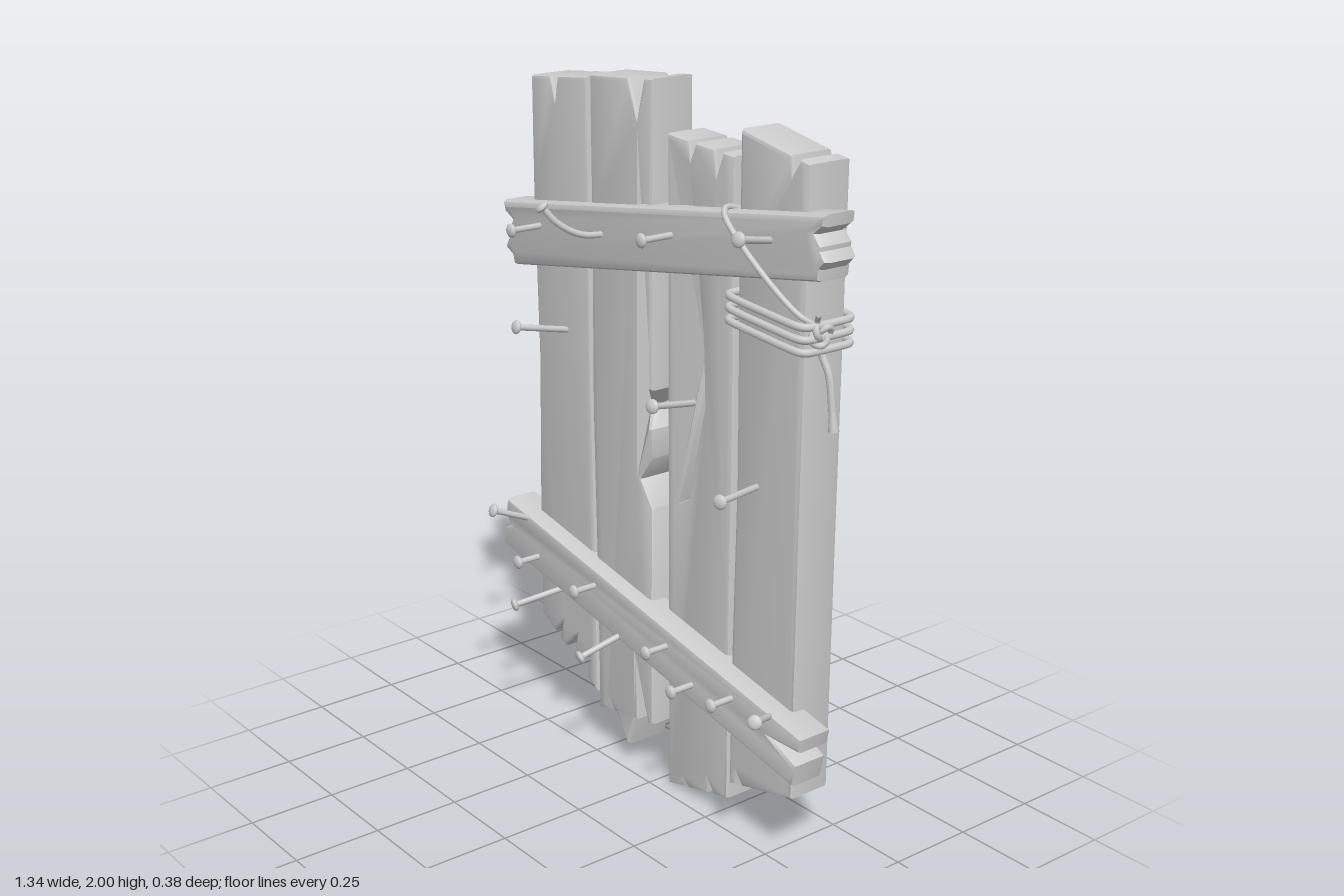
import * as THREE from 'three';
import { toCreasedNormals } from 'three/addons/utils/BufferGeometryUtils.js';

const material = new THREE.MeshStandardMaterial({ color: 0xcccccc });
const V = (p) => new THREE.Vector3(...p);

function addMesh(parent, geometry, name) {
  const mesh = new THREE.Mesh(geometry, material);
  mesh.name = name;
  parent.add(mesh);
  return mesh;
}

// One side of a board: from a toward b, cut by V notches [place along side, half width, depth].
function notchedSide(a, b, notches = []) {
  const from = new THREE.Vector2(...a), to = new THREE.Vector2(...b);
  const step = to.clone().sub(from);
  const inward = new THREE.Vector2(step.y, -step.x).normalize();
  const at = (t, depth) => from.clone().addScaledVector(step, t).addScaledVector(inward, depth);
  return [from, ...notches.flatMap(([t, w, d]) => [at(t - w, 0), at(t, d), at(t + w, 0)])];
}

// Board from its four corners (clockwise from top left) and the notches of each side.
// Dents [x, y, radius, depth] pinch both faces toward the middle.
function addBoard(parent, name, corners, { back, front, top, right, bottom, left, hole, dents = [], bevel = 0.012 }) {
  const [tl, tr, br, bl] = corners;
  const shape = new THREE.Shape([
    ...notchedSide(tl, tr, top), ...notchedSide(tr, br, right),
    ...notchedSide(br, bl, bottom), ...notchedSide(bl, tl, left),
  ]);
  if (hole) shape.holes.push(new THREE.Path(hole.map(([x, y]) => new THREE.Vector2(x, y))));
  const geometry = new THREE.ExtrudeGeometry(shape, {
    depth: front - back - 2 * bevel, bevelThickness: bevel, bevelSize: bevel,
    bevelOffset: -bevel, bevelSegments: 2, steps: 1,
  });
  geometry.translate(0, 0, back + bevel);
  const middle = (front + back) / 2;
  const pos = geometry.attributes.position;
  for (let i = 0; i < pos.count; i++) {
    for (const [x, y, radius, depth] of dents) {
      if (Math.hypot(pos.getX(i) - x, pos.getY(i) - y) < radius) {
        pos.setZ(i, pos.getZ(i) - Math.sign(pos.getZ(i) - middle) * depth);
      }
    }
  }
  addMesh(parent, toCreasedNormals(geometry, 0.6), name);
}

function cord(points, radius, closed = false) {
  const curve = new THREE.CatmullRomCurve3(points, closed, 'centripetal');
  return new THREE.TubeGeometry(curve, points.length * 5, radius, 8, closed);
}

// Nail following its points from the wood to a flat round head.
function addNail(parent, ...points) {
  const group = new THREE.Group();
  group.name = 'nail';
  parent.add(group);
  const path = points.map(V);
  addMesh(group, cord(path, 0.009), 'nailShaft');
  const head = addMesh(group, new THREE.SphereGeometry(0.02, 14, 8), 'nailHead');
  const tip = path.at(-1);
  head.scale.y = 0.5;
  head.position.copy(tip);
  head.quaternion.setFromUnitVectors(new THREE.Vector3(0, 1, 0), tip.clone().sub(path.at(-2)).normalize());
}

// Four upright planks with splintered ends
function addPlanks(parent) {
  addBoard(parent, 'plank', [[-.56, 1.945], [-.305, 1.97], [-.28, .17], [-.555, .33]], {
    back: -.165, front: -.025,
    top: [[.42, .06, .06]],
    right: [[.45, .3, .006]],
    bottom: [[.28, .1, .09], [.5, .07, .08], [.72, .04, .06]],
    left: [[.5, .3, .012]],
  });
  addBoard(parent, 'plank', [[-.285, 1.98], [-.015, 2], [-.015, .17], [-.265, .13]], {
    back: -.16, front: -.02,
    top: [[.74, .12, .1]],
    right: [[.485, .03, .04], [.6, .04, .05]],
    bottom: [[.18, .1, .2], [.5, .16, -.09], [.76, .06, .03]],
    left: [[.5, .3, -.008]],
    dents: [[-.055, 1.11, .05, .045]],
  });
  addBoard(parent, 'plank', [[.02, 1.865], [.285, 1.845], [.29, .06], [.035, 0]], {
    back: -.175, front: -.04,
    top: [[.38, .05, .04], [.77, .06, .06]],
    right: [[.4, .3, -.006]],
    bottom: [[.28, .06, .04], [.7, .05, .02]],
    hole: [[.17, 1.5], [.155, 1.3], [.155, 1.15], [.075, .87], [.115, .89], [.175, 1.15], [.167, 1.32]],
    dents: [[.165, 1.31, .03, .035]],
  });
  addBoard(parent, 'plank', [[.32, 1.92], [.57, 1.87], [.56, .18], [.31, .12]], {
    back: -.165, front: -.03,
    top: [[.8, .06, .04]],
    bottom: [[.85, .06, .04]],
    left: [[.5, .3, .008]],
  });
}

// Two slanting crossbars with split ends
function addCrossbars(parent) {
  addBoard(parent, 'crossbar', [[-.67, 1.58], [.66, 1.77], [.645, 1.605], [-.62, 1.4]], {
    back: -.105, front: .008, bevel: .02,
    right: [[.33, .14, .025], [.68, .14, -.02]],
    left: [[.3, .15, -.03], [.68, .14, .03]],
  });
  addBoard(parent, 'crossbar', [[-.645, .685], [.66, .415], [.63, .27], [-.665, .535]], {
    back: -.075, front: .033,
    right: [[.42, .14, .11]],
    left: [[.5, .14, .03]],
  });
}

function addNails(parent) {
  // Straight nails
  for (const [x, y] of [[-.48, 1.54], [.1, 1.62], [-.485, .55], [-.21, .55], [.115, .48], [.225, .405], [.39, .43]]) {
    addNail(parent, [x, y, -.02], [x, y, .105]);
  }
  // Crooked nails: place of the head and its lean
  for (const [x, y, leanX, leanY] of [
    [.515, 1.705, .045, .035], [-.415, 1.285, -.01, .035], [.19, 1.21, .04, .035], [.46, 1.03, .055, .015],
    [-.555, .7, -.02, .07], [-.455, .435, -.07, -.045], [-.135, .385, -.05, -.07], [.605, .48, .105, .07],
  ]) {
    addNail(parent, [x - leanX, y - leanY, -.03], [x, y, .14]);
  }
  // Bent nail
  addNail(parent, [-.195, 1.565, -.03], [-.205, 1.575, .07], [-.225, 1.61, .13], [-.245, 1.655, .165]);
}

// Rope wound three times around the outer plank, knotted at its edge
function addRope(parent) {
  const rope = new THREE.Group();
  rope.name = 'rope';
  parent.add(rope);
  const squared = (value) => Math.sign(value) * Math.abs(value) ** 0.25;
  for (let turn = 0; turn < 3; turn++) {
    const loop = Array.from({ length: 24 }, (_, i) => {
      const angle = ((i + 0.5) / 24) * Math.PI * 2;
      const x = squared(Math.cos(angle)) * 0.147;
      return new THREE.Vector3(0.44 + x, 1.49 - turn * 0.032 - x * 0.09, -0.094 + squared(Math.sin(angle)) * 0.088);
    });
    addMesh(rope, cord(loop, 0.0105, true), 'ropeLoop');
  }
  const strand = [[.295, 1.69, -.12], [.295, 1.725, -.01], [.32, 1.71, .016], [.44, 1.607, .016], [.565, 1.5, -.02], [.59, 1.475, -.06]];
  addMesh(rope, cord(strand.map(V), 0.008), 'ropeStrand');
  const knot = addMesh(rope, new THREE.TorusKnotGeometry(0.02, 0.009, 48, 8), 'knot');
  knot.position.set(.588, 1.455, -.065);
  knot.rotation.y = Math.PI / 2;
  addMesh(rope, cord([[.575, 1.45, -.05], [.59, 1.49, -.05], [.605, 1.51, -.04]].map(V), 0.007), 'ropeShortEnd');
  // Hanging tail with a frayed tip
  const tail = [[.585, 1.45, -.07], [.575, 1.405, -.08], [.6, 1.35, -.085], [.617, 1.25, -.085]];
  addMesh(rope, cord(tail.map(V), 0.01), 'ropeTail');
  const tip = addMesh(rope, new THREE.CylinderGeometry(0.009, 0.014, 0.05, 8), 'frayedTip');
  tip.position.set(.62, 1.235, -.085);
  tip.rotation.z = 0.12;
}

export function createModel() {
  const model = new THREE.Group();
  model.name = 'boardedPlanks';
  addPlanks(model);
  addCrossbars(model);
  addNails(model);
  addRope(model);
  return model;
}
